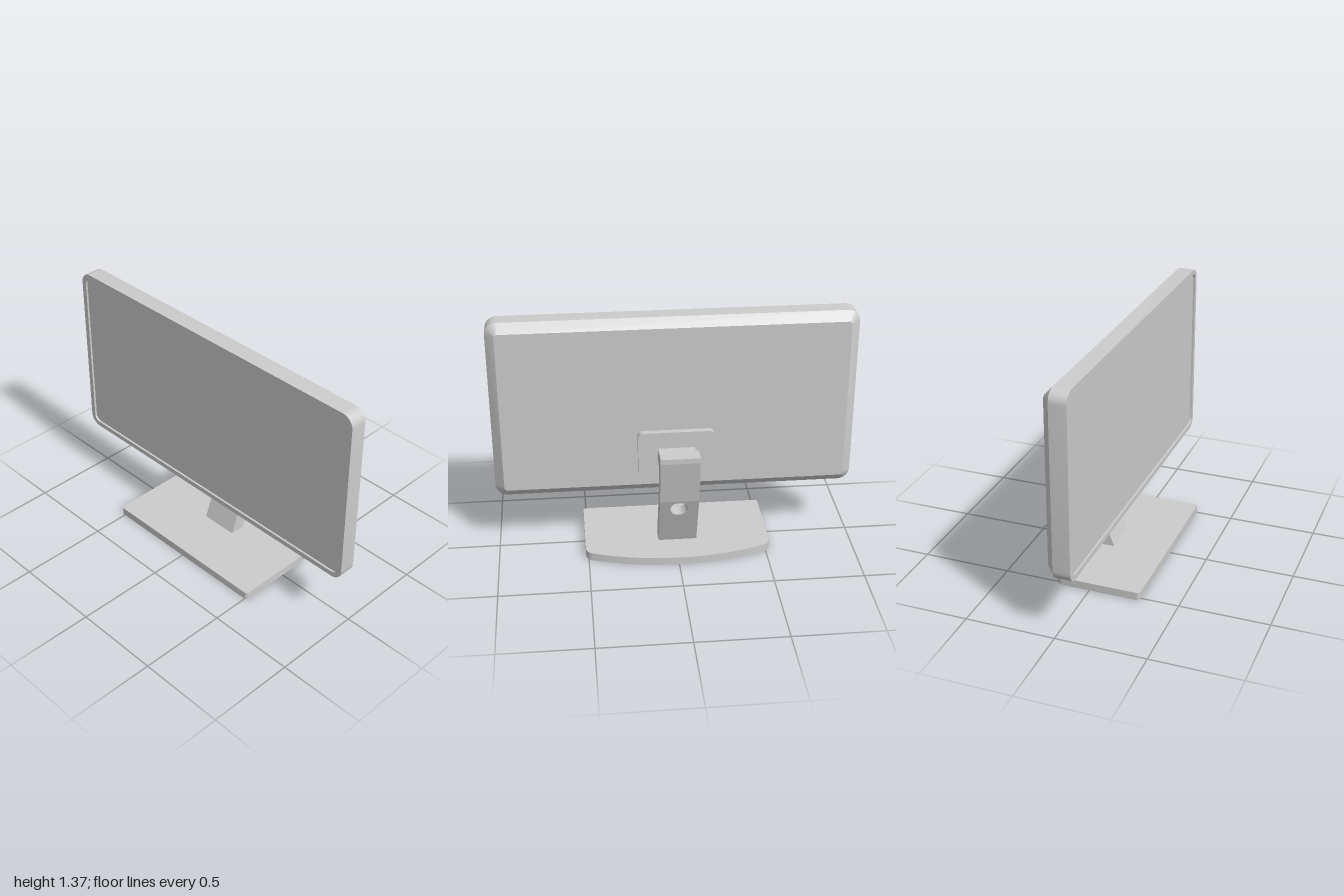
import * as THREE from 'three';
import { toCreasedNormals } from 'three/addons/utils/BufferGeometryUtils.js';

const grey = new THREE.MeshStandardMaterial({ color: 0xcccccc });
grey.name = 'light grey';

function part(name, geometry, parent) {
  const mesh = new THREE.Mesh(toCreasedNormals(geometry, 0.5), grey);
  mesh.name = name;
  parent.add(mesh);
  return mesh;
}

// Counter-clockwise rounded rectangle as a list of points
function roundedRect(x0, x1, y0, y1, r, steps = 8) {
  const points = [];
  const corners = [[x1 - r, y1 - r], [x0 + r, y1 - r], [x0 + r, y0 + r], [x1 - r, y0 + r]];
  corners.forEach(([cx, cy], q) => {
    for (let i = 0; i <= steps; i++) {
      const a = (q + i / steps) * Math.PI / 2;
      points.push(new THREE.Vector2(cx + r * Math.cos(a), cy + r * Math.sin(a)));
    }
  });
  return points;
}

// Skin between successive loops of equal point count, closed at both ends
function loft(loops) {
  const pos = [];
  const put = (p, z) => pos.push(p.x, p.y, z);
  for (let k = 0; k < loops.length - 1; k++) {
    const a = loops[k], b = loops[k + 1], n = a.points.length;
    for (let i = 0; i < n; i++) {
      const j = (i + 1) % n;
      put(a.points[i], a.z); put(a.points[j], a.z); put(b.points[j], b.z);
      put(a.points[i], a.z); put(b.points[j], b.z); put(b.points[i], b.z);
    }
  }
  const first = loops[0], last = loops[loops.length - 1];
  for (const [a, b, c] of THREE.ShapeUtils.triangulateShape(first.points, [])) {
    for (const i of [a, c, b]) put(first.points[i], first.z);
  }
  for (const face of THREE.ShapeUtils.triangulateShape(last.points, [])) {
    for (const i of face) put(last.points[i], last.z);
  }
  const g = new THREE.BufferGeometry();
  g.setAttribute('position', new THREE.Float32BufferAttribute(pos, 3));
  g.computeVertexNormals();
  return g;
}

// Side profile given in (-z, y), extruded across x from x0 to x1
function extrudeAcross(shape, x0, x1) {
  const g = new THREE.ExtrudeGeometry(shape, { depth: x1 - x0, bevelEnabled: false, curveSegments: 10 });
  return g.rotateY(Math.PI / 2).translate(x0, 0, 0);
}

export function createModel() {
  const model = new THREE.Group();
  model.name = 'monitor';

  // Housing: chamfered back, straight sides, thin bezel around a recessed panel
  const outline = (inset, r) => roundedRect(-1 + inset, 1 - inset, 0.335 + inset, 1.37 - inset, r);
  part('screenHousing', loft([
    { points: outline(0.05, 0.018), z: -0.045 },
    { points: outline(0, 0.065), z: 0 },
    { points: outline(0, 0.065), z: 0.095 },
    { points: outline(0.029, 0.036), z: 0.095 },
    { points: outline(0.029, 0.036), z: 0.083 },
  ]), model);

  // Mounting plate on the back
  const plate = new THREE.Shape(roundedRect(-0.214, 0.208, 0.44, 0.72, 0.03));
  part('mountingPlate', new THREE.ExtrudeGeometry(plate, { depth: 0.035, bevelEnabled: false })
    .translate(0, 0, -0.079), model);

  // Hinge block with a rounded rear end
  const hinge = new THREE.Shape();
  hinge.moveTo(0.075, 0.538);
  hinge.lineTo(0.145, 0.538);
  hinge.absarc(0.145, 0.568, 0.03, -Math.PI / 2, 0, false);
  hinge.lineTo(0.175, 0.595);
  hinge.absarc(0.145, 0.594, 0.03, 0, Math.PI / 2, false);
  hinge.lineTo(0.075, 0.624);
  part('hingeBlock', extrudeAcross(hinge, -0.105, 0.098), model);

  // Lower leg: plate with a cable hole, sheared backwards with height
  const leg = new THREE.Shape();
  leg.moveTo(-0.115, 0.04);
  leg.lineTo(0.101, 0.04);
  leg.lineTo(0.101, 0.365);
  leg.lineTo(-0.115, 0.365);
  const hole = new THREE.Path();
  hole.absarc(-0.007, 0.306, 0.049, 0, Math.PI * 2, true);
  leg.holes.push(hole);
  const legGeometry = new THREE.ExtrudeGeometry(leg, { depth: 0.088, bevelEnabled: false, curveSegments: 32 });
  const p = legGeometry.attributes.position;
  for (let i = 0; i < p.count; i++) {
    p.setZ(i, p.getZ(i) - 0.1 - (p.getY(i) - 0.045) * 0.122 / 0.32);
  }
  legGeometry.computeVertexNormals();
  part('lowerLeg', legGeometry, model);

  // Upper leg: steeper, ending in a short upright top
  const upper = new THREE.Shape([
    [0.134, 0.365], [0.222, 0.365], [0.275, 0.63], [0.275, 0.66], [0.187, 0.66], [0.187, 0.63],
  ].map(([u, y]) => new THREE.Vector2(u, y)));
  const upperMesh = new THREE.Mesh(extrudeAcross(upper, -0.115, 0.101), grey);
  upperMesh.name = 'upperLeg';
  model.add(upperMesh);

  // Foot: straight front, bowed back, small rounded corners (drawn in x, -z)
  const foot = new THREE.Shape();
  foot.moveTo(-0.505, -0.288);
  foot.lineTo(0.495, -0.288);
  foot.quadraticCurveTo(0.515, -0.288, 0.515, -0.268);
  foot.lineTo(0.515, 0.15);
  foot.quadraticCurveTo(0.513, 0.188, 0.475, 0.203);
  foot.bezierCurveTo(0.18, 0.318, -0.19, 0.318, -0.485, 0.203);
  foot.quadraticCurveTo(-0.523, 0.188, -0.525, 0.15);
  foot.lineTo(-0.525, -0.268);
  foot.quadraticCurveTo(-0.525, -0.288, -0.505, -0.288);
  part('foot', new THREE.ExtrudeGeometry(foot, { depth: 0.045, bevelEnabled: false, curveSegments: 16 })
    .rotateX(-Math.PI / 2), model);

  return model;
}
